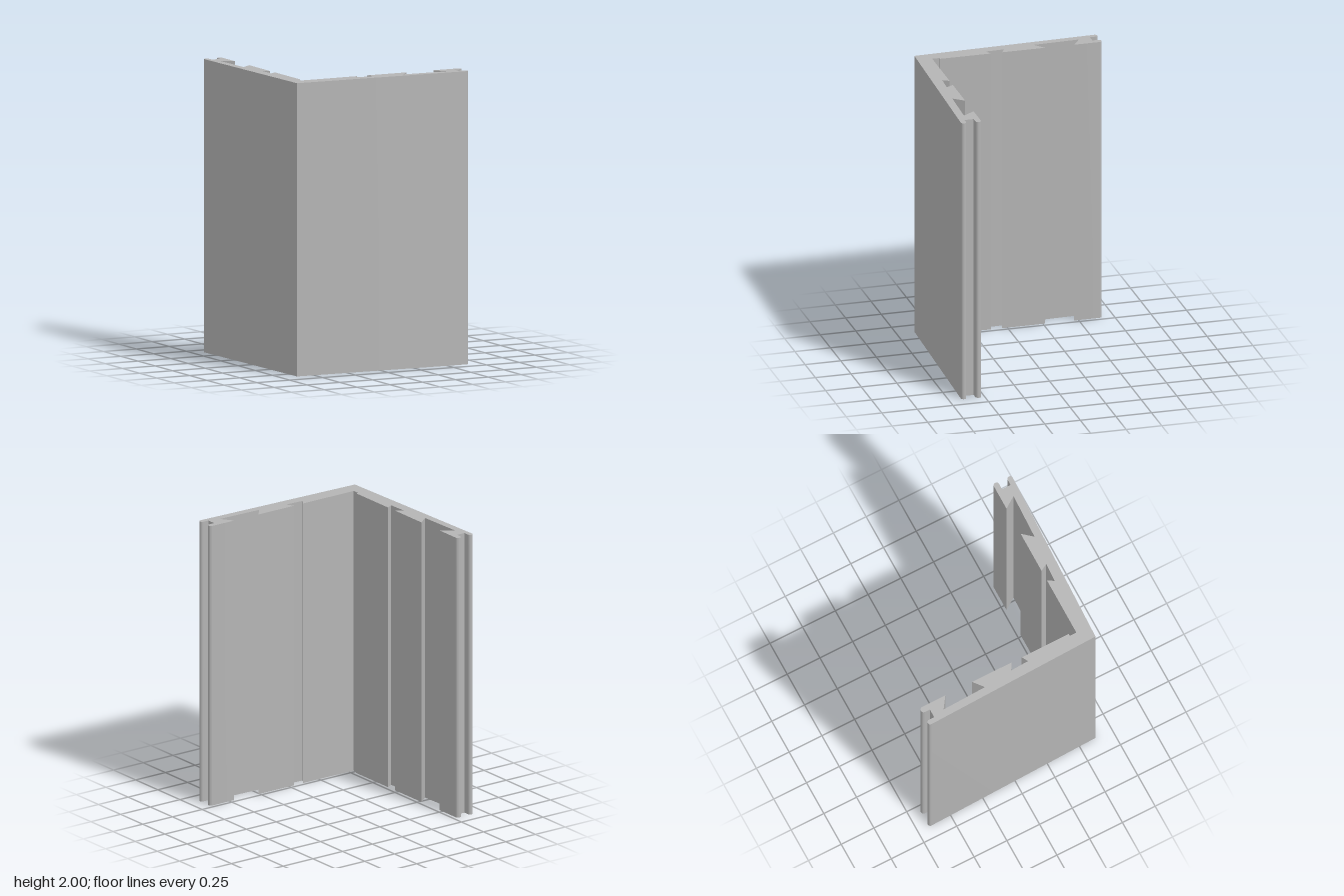
import * as THREE from 'three';
import { toCreasedNormals } from 'three/addons/utils/BufferGeometryUtils.js';

const HEIGHT = 2;

// Plan of the corner, given as [x, z] and walked from the outer corner.
function profile() {
  const s = new THREE.Shape();
  const lines = (pts) => pts.forEach(([x, z]) => s.lineTo(x, -z));
  // Rounded lip pointing along -z, from x0 to x1
  const lipBack = (x0, x1, tip) => {
    const r = Math.abs(x1 - x0) / 2;
    s.lineTo(x0, -(tip + r));
    s.absarc((x0 + x1) / 2, -(tip + r), r, Math.PI, 0, true);
  };
  // Rounded lip pointing along +x, from z0 to z1
  const lipSide = (z0, z1, tip) => {
    const r = Math.abs(z1 - z0) / 2;
    s.lineTo(tip - r, -z0);
    s.absarc(tip - r, -(z0 + z1) / 2, r, Math.PI / 2, -Math.PI / 2, true);
  };

  s.moveTo(-0.628, -0.624);
  // Back end of the left arm: two lips with a slot between
  lipBack(-0.666, -0.63, -0.667);
  lines([[-0.63, -0.609], [-0.568, -0.609]]);
  lipBack(-0.568, -0.527, -0.667);
  // Inner face of the left arm: wide and narrow dovetail, small corner step
  lines([
    [-0.527, -0.469], [-0.611, -0.527], [-0.6, -0.205], [-0.527, -0.264],
    [-0.527, 0.037], [-0.577, 0.007], [-0.571, 0.139], [-0.527, 0.114],
    [-0.527, 0.473], [-0.543, 0.473], [-0.543, 0.523],
  ]);
  // Inner face of the front arm: narrow and wide dovetail
  lines([
    [-0.118, 0.523], [-0.146, 0.567], [-0.012, 0.574], [-0.041, 0.523],
    [0.26, 0.523], [0.198, 0.596], [0.522, 0.607], [0.464, 0.523],
  ]);
  // Free end of the front arm
  lipSide(0.523, 0.562, 0.664);
  lines([[0.602, 0.562], [0.602, 0.627]]);
  lipSide(0.627, 0.664, 0.661);
  s.closePath();
  return s;
}

export function createModel() {
  const group = new THREE.Group();
  group.name = 'cornerProfile';
  const grey = new THREE.MeshStandardMaterial({ color: 0xb4b4b4 });
  grey.name = 'grey';

  // Extrude the plan upwards, keeping edges sharp and lips smooth
  const extruded = new THREE.ExtrudeGeometry(profile(), {
    depth: HEIGHT, bevelEnabled: false, curveSegments: 16,
  });
  extruded.rotateX(-Math.PI / 2);
  extruded.clearGroups();
  const body = new THREE.Mesh(toCreasedNormals(extruded, Math.PI / 7), grey);
  body.name = 'cornerExtrusion';
  group.add(body);
  return group;
}
